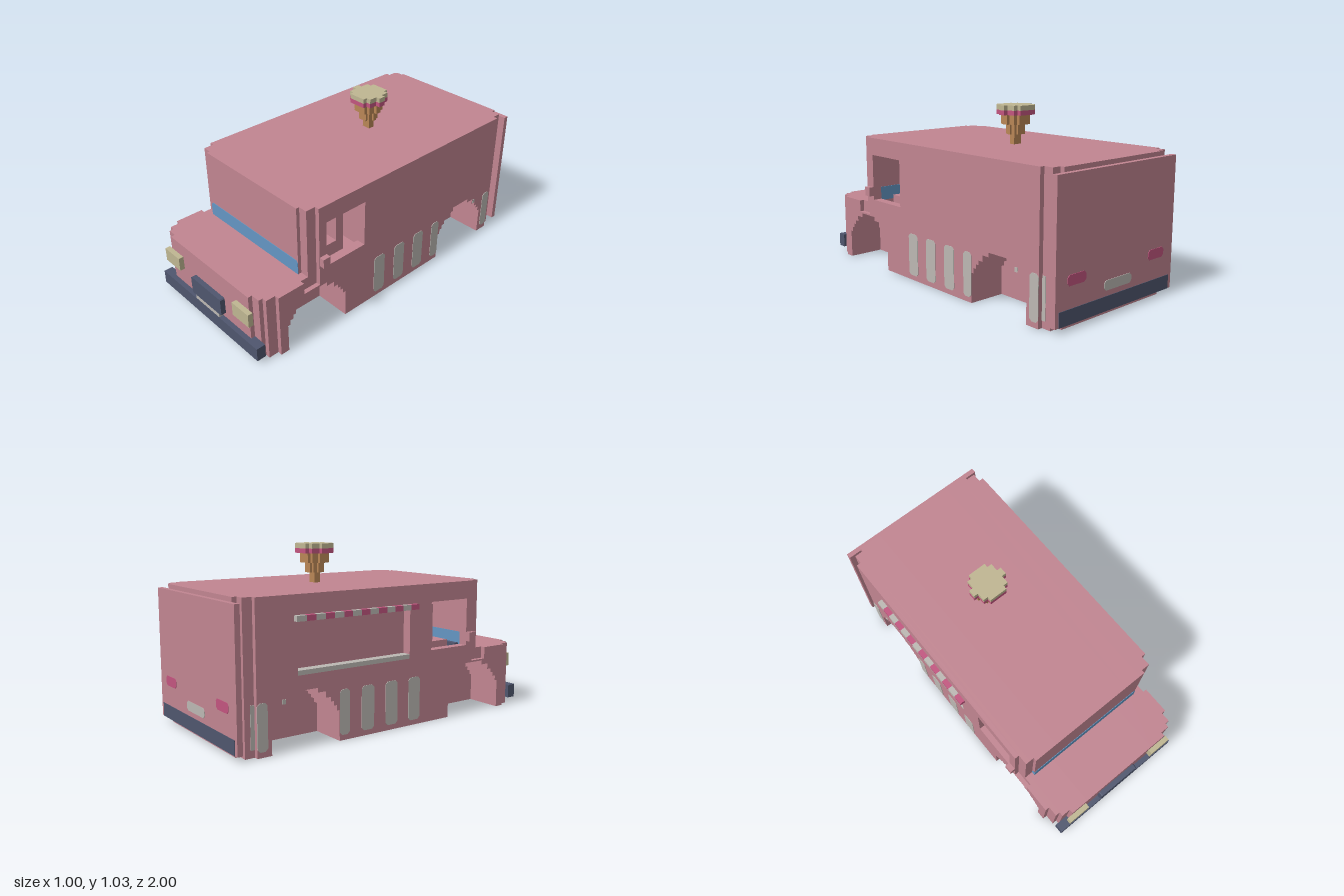
import * as THREE from 'three';

const mat = (name, color) => Object.assign(new THREE.MeshStandardMaterial({ color }), { name });

export function createModel() {
  const pink = mat('bodyPink', 0xc18591), grey = mat('paleGrey', 0xbcb8b3), navy = mat('navy', 0x4f566e),
    cream = mat('cream', 0xbfb692), blue = mat('glassBlue', 0x6496c3), magenta = mat('magenta', 0xc2557f),
    waffle = mat('waffle', 0xb98656);
  const truck = new THREE.Group();
  truck.name = 'iceCreamTruck';

  const add = (name, geo, material, parent = truck) => {
    const m = new THREE.Mesh(geo, material);
    m.name = name;
    parent.add(m);
    return m;
  };
  const box = (name, material, [x0, x1], [y0, y1], [z0, z1], parent) =>
    add(name, new THREE.BoxGeometry(x1 - x0, y1 - y0, z1 - z0)
      .translate((x0 + x1) / 2, (y0 + y1) / 2, (z0 + z1) / 2), material, parent);
  const toShape = pts => new THREE.Shape(pts.map(p => new THREE.Vector2(...p)));
  const rect = (a0, a1, b0, b1) => [[a0, b0], [a1, b0], [a1, b1], [a0, b1]];
  // rectangle with clipped corners
  const clipped = (a0, a1, b0, b1, c) => [[a0 + c, b0], [a1 - c, b0], [a1, b0 + c], [a1, b1 - c],
    [a1 - c, b1], [a0 + c, b1], [a0, b1 - c], [a0, b0 + c]];
  // side profile (z, y) extruded from x0 to x1
  const slab = (pts, holes, x0, x1) => {
    const s = toShape(pts);
    holes.forEach(h => s.holes.push(new THREE.Path(h.map(p => new THREE.Vector2(...p)))));
    return new THREE.ExtrudeGeometry(s, { depth: x1 - x0, bevelEnabled: false })
      .rotateY(-Math.PI / 2).translate(x1, 0, 0);
  };

  // stepped wheel arch outline, rear to front
  const archSteps = [[0.207, 0.17], [0.19, 0.2], [0.17, 0.225], [0.15, 0.25], [0.12, 0.285], [0.07, 0.31]];
  const arch = zc => {
    const left = [];
    let y = 0;
    for (const [w, top] of archSteps) {
      left.push([zc - w, y], [zc - w, top]);
      y = top;
    }
    return [...left, ...left.map(([z, h]) => [2 * zc - z, h]).reverse()];
  };
  const bodyProfile = ({ rear, front, cab, arches, notch }) => [
    [rear, 0], ...(arches ? [...arch(-0.6), ...arch(0.6)] : []), [front, 0], [front, 0.39],
    ...(notch ? [[0.69, 0.39], [0.69, 0.32], [cab, 0.32]] : [[cab, 0.39]]),
    [cab, 0.805], [rear, 0.805]];

  // body built from side slices, stepped in towards the corners
  const cavity = rect(0.21, 0.615, 0.35, 0.76);
  const cabWindow = rect(0.25, 0.53, 0.42, 0.7);
  const hatch = rect(-0.65, 0.09, 0.39, 0.67);
  const body = new THREE.Group();
  body.name = 'body';
  truck.add(body);
  add('bodyCore', slab(bodyProfile({ rear: -0.97, front: 0.97, cab: 0.66 }), [cavity], -0.25, 0.25), pink, body);
  const slices = [
    { x: [0.25, 0.36], rear: -0.97, front: 0.97, cab: 0.66 },
    { x: [0.36, 0.39], rear: -0.97, front: 0.945, cab: 0.66 },
    { x: [0.39, 0.415], rear: -0.945, front: 0.945, cab: 0.64 },
    { x: [0.415, 0.443], rear: -0.945, front: 0.92, cab: 0.64, window: true },
    { x: [0.443, 0.47], rear: -0.89, front: 0.86, cab: 0.58, window: true, notch: true }];
  for (const s of slices) {
    const pts = bodyProfile({ ...s, arches: true });
    const opening = s.window ? cabWindow : cavity;
    const [a, b] = s.x;
    add('leftBodySlice', slab(pts, [opening], a, b), pink, body);
    add('rightBodySlice', slab(pts, s.window ? [opening, hatch] : [opening], -b, -a), pink, body);
  }
  box('rearPanel', pink, [-0.47, 0.47], [0.03, 0.78], [-1, -0.97]);

  // serving hatch sill and striped awning
  box('hatchSill', grey, [-0.47, -0.415], [0.39, 0.415], [-0.65, 0.09]);
  const stripe = 0.8 / 14;
  for (let i = 0; i < 14; i++) {
    const z = -0.67 + i * stripe;
    box('awningStripe', i % 2 ? magenta : grey, [-0.5, -0.47], [0.67, 0.7], [z, z + stripe]);
  }

  // windscreen
  const glass = toShape([[-0.39, 0.39], [0.39, 0.39], [0.39, 0.461], [0.376, 0.475], [-0.376, 0.475], [-0.39, 0.461]]);
  add('windscreen', new THREE.ExtrudeGeometry(glass, { depth: 0.051, bevelEnabled: false })
    .translate(0, 0, 0.612), blue);

  // cab interior
  box('seatBack', pink, [-0.36, 0.36], [0.35, 0.67], [0.31, 0.36]);
  box('seatCushion', pink, [-0.36, 0.36], [0.35, 0.445], [0.36, 0.48]);
  box('steeringWheel', navy, [-0.36, -0.22], [0.36, 0.415], [0.545, 0.575]);

  // parts mirrored on both sides
  for (const s of [-1, 1]) {
    const span = (a, b) => (s > 0 ? [a, b] : [-b, -a]);
    box('mirror', pink, span(0.44, 0.5), [0.445, 0.5], [0.53, 0.578]);
    box('headlight', cream, span(0.25, 0.39), [0.225, 0.308], [0.97, 1]);
    const panel = (z0, z1, x = 0.47) =>
      add('sidePanel', slab(clipped(z0, z1, 0.03, 0.28, 0.015), [], ...span(x - 0.002, x + 0.003)), grey);
    for (const z of [0.125, -0.04, -0.205]) panel(z - 0.042, z + 0.042);
    panel(-0.392, -0.328);
    panel(-0.89, -0.83);
    box('sidePanelEnd', grey, span(0.44, 0.446), [0.04, 0.27], [-0.913, -0.89]);
    box('sidePanelCorner', grey, span(0.468, 0.473), [0.255, 0.28], [-0.745, -0.725]);
    add('tailLight', new THREE.ExtrudeGeometry(toShape(clipped(s * 0.32 - 0.068, s * 0.32 + 0.068, 0.227, 0.283, 0.014)),
      { depth: 0.004, bevelEnabled: false }).translate(0, 0, -1.003), magenta);
  }

  // front and rear fittings
  box('frontBumper', navy, [-0.445, 0.445], [0.03, 0.112], [0.945, 1]);
  add('grille', new THREE.ExtrudeGeometry(toShape(clipped(-0.138, 0.138, 0.14, 0.25, 0.006)),
    { depth: 0.03, bevelEnabled: false }).translate(0, 0, 0.97), navy);
  box('frontPlate', grey, [-0.11, 0.11], [0.112, 0.142], [0.97, 0.998]);
  box('rearBumper', navy, [-0.445, 0.445], [0.03, 0.11], [-1.003, -0.998]);
  add('rearPlate', new THREE.ExtrudeGeometry(toShape(clipped(-0.11, 0.11, 0.14, 0.194, 0.014)),
    { depth: 0.004, bevelEnabled: false }).translate(0, 0, -1.003), grey);

  // roof cone made of stepped discs
  const cone = new THREE.Group();
  cone.name = 'roofCone';
  cone.position.z = -0.237;
  truck.add(cone);
  const quarter = [[1, 0.2], [0.76, 0.2], [0.76, 0.65], [0.5, 0.65], [0.5, 0.88]];
  const disc = (name, material, r, y0, y1) => {
    const q = quarter.map(([x, z]) => [x * r, z * r]);
    const flip = q.map(([x, z]) => [-x, z]).reverse();
    const half = [...q, ...flip];
    const pts = [...half, ...half.map(([x, z]) => [-x, -z])];
    add(name, new THREE.ExtrudeGeometry(toShape(pts), { depth: y1 - y0, bevelEnabled: false })
      .rotateX(-Math.PI / 2).translate(0, y0, 0), material, cone);
  };
  box('coneTip', waffle, [-0.027, 0.027], [0.8, 0.865], [-0.018, 0.018], cone);
  disc('coneLower', waffle, 0.055, 0.863, 0.92);
  disc('coneUpper', waffle, 0.083, 0.92, 0.975);
  disc('syrup', magenta, 0.11, 0.975, 1.002);
  disc('iceCream', cream, 0.11, 1.002, 1.03);
  return truck;
}
